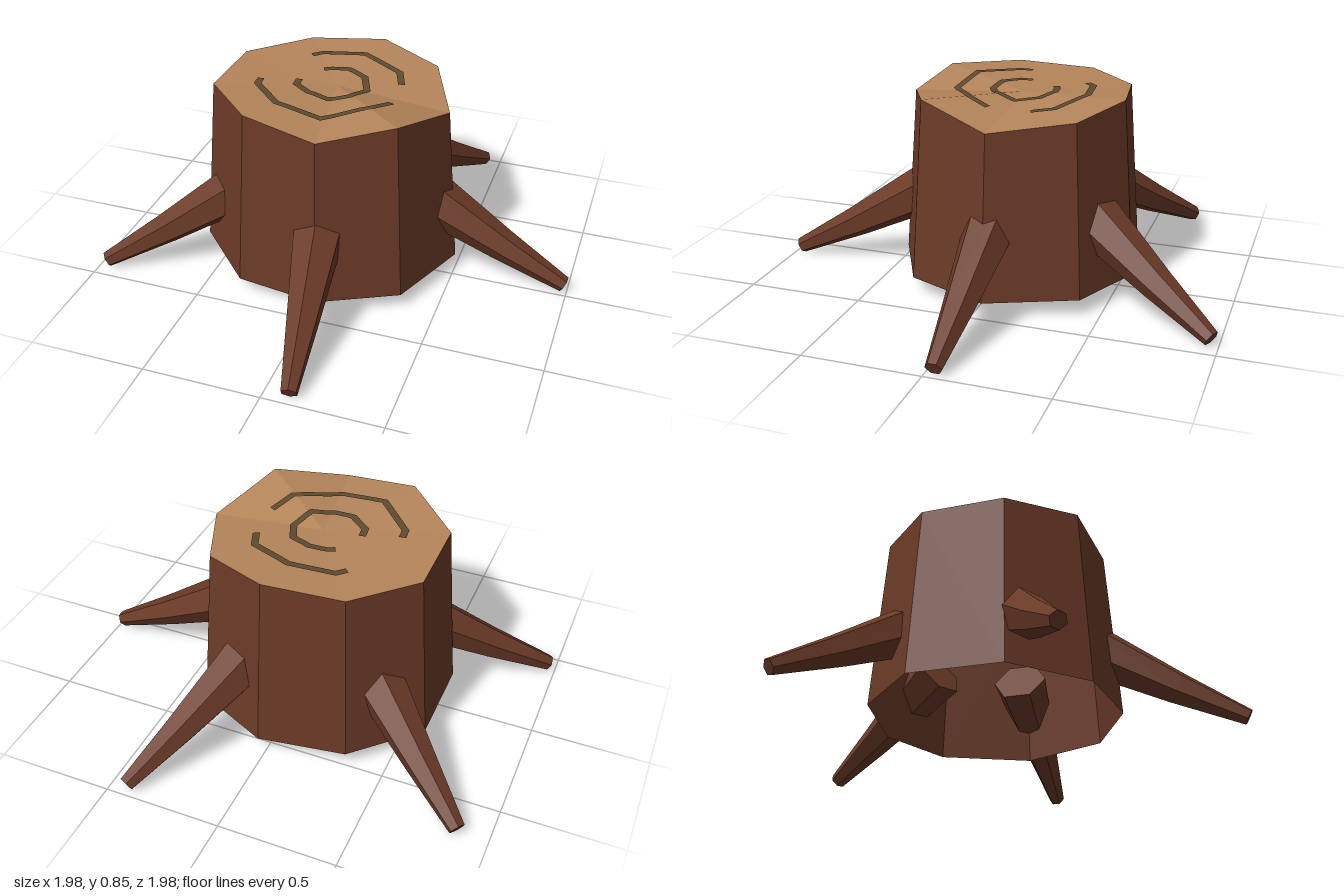
import * as THREE from 'three';

const CENTRE = { x: -0.05, z: -0.05 };
const BASE_Y = 0.08, CAP_Y = 0.825, FLARE = 1.12;

// sawn rim of the trunk: x, y, z
const RIM = [
  [0.44, 0.78, -0.05], [0.31, 0.855, 0.27], [0.02, 0.81, 0.415],
  [-0.30, 0.855, 0.37], [-0.54, 0.835, 0.12], [-0.54, 0.825, -0.23],
  [-0.31, 0.825, -0.46], [0.02, 0.845, -0.51], [0.30, 0.815, -0.38],
];

function meshFrom(positions, material, name) {
  const geometry = new THREE.BufferGeometry();
  geometry.setAttribute('position', new THREE.Float32BufferAttribute(positions.flat(), 3));
  geometry.computeVertexNormals();
  const mesh = new THREE.Mesh(geometry, material);
  mesh.name = name;
  return mesh;
}

// height of the sawn face at a point
function capHeight(x, z) {
  const px = x - CENTRE.x, pz = z - CENTRE.z;
  for (let i = 0; i < RIM.length; i++) {
    const p = RIM[i], q = RIM[(i + 1) % RIM.length];
    const ax = p[0] - CENTRE.x, az = p[2] - CENTRE.z;
    const bx = q[0] - CENTRE.x, bz = q[2] - CENTRE.z;
    const det = ax * bz - az * bx;
    const a = (px * bz - pz * bx) / det, b = (ax * pz - az * px) / det;
    if (a >= -1e-6 && b >= -1e-6) return CAP_Y + a * (p[1] - CAP_Y) + b * (q[1] - CAP_Y);
  }
  return CAP_Y;
}

// flat ribbon laid over the sawn face along a polyline
function growthRing(path, material, name) {
  const half = 0.015, steps = 4, left = [], right = [];
  const dir = (i) => {
    const a = path[i], b = path[i + 1];
    return new THREE.Vector2(b[0] - a[0], b[1] - a[1]).normalize();
  };
  const last = path.length - 1;
  const edges = path.map((p, i) => {
    const d0 = dir(Math.max(i - 1, 0)), d1 = dir(Math.min(i, last - 1));
    const d = d0.clone().add(d1).normalize();
    const w = half / Math.max(d.dot(d1), 0.5);
    return [[p[0] + d.y * w, p[1] - d.x * w], [p[0] - d.y * w, p[1] + d.x * w]];
  });
  const drape = (a, b, t) => {
    const x = a[0] + (b[0] - a[0]) * t, z = a[1] + (b[1] - a[1]) * t;
    return [x, capHeight(x, z) + 0.006, z];
  };
  for (let i = 0; i < last; i++) {
    for (let s = i ? 1 : 0; s <= steps; s++) {
      left.push(drape(edges[i][0], edges[i + 1][0], s / steps));
      right.push(drape(edges[i][1], edges[i + 1][1], s / steps));
    }
  }
  const tris = [];
  for (let i = 0; i < left.length - 1; i++) {
    tris.push(left[i], left[i + 1], right[i], right[i], left[i + 1], right[i + 1]);
  }
  // turn the ribbon face up
  const [a, b, c] = tris;
  const up = (b[2] - a[2]) * (c[0] - a[0]) - (b[0] - a[0]) * (c[2] - a[2]);
  if (up < 0) tris.reverse();
  return meshFrom(tris, material, name);
}

// six-sided tapered root, bent once, reaching along +x
const ROOT_PATH = [[0.36, 0.40, 0.12], [0.76, 0.18, 0.07], [1.035, 0.04, 0.035]]; // reach, height, radius
function rootGeometry(roll) {
  const geometry = new THREE.CylinderGeometry(1, 1, 2, 6, 2, false, roll);
  const pos = geometry.attributes.position;
  for (let i = 0; i < pos.count; i++) {
    const k = Math.round(pos.getY(i)) + 1;
    const [cx, cy, r] = ROOT_PATH[k];
    const a = ROOT_PATH[Math.max(k - 1, 0)], b = ROOT_PATH[Math.min(k + 1, 2)];
    const t = new THREE.Vector2(b[0] - a[0], b[1] - a[1]).normalize();
    const side = pos.getX(i) * r, lift = pos.getZ(i) * r;
    pos.setXYZ(i, cx - t.y * lift, cy + t.x * lift, side);
  }
  geometry.computeVertexNormals();
  return geometry;
}

export function createModel() {
  const model = new THREE.Group();
  model.name = 'treeStump';
  const make = (name, color) => new THREE.MeshStandardMaterial({
    name, color, flatShading: true, side: THREE.DoubleSide,
  });
  const bark = make('bark', 0x6b3a27);
  const wood = make('cutWood', 0xb5855a);
  const ringDark = make('ringBrown', 0x5e4b30);

  // open-bottomed trunk wall and sawn face
  const base = RIM.map(([x, , z]) => [
    CENTRE.x + (x - CENTRE.x) * FLARE, BASE_Y, CENTRE.z + (z - CENTRE.z) * FLARE,
  ]);
  const wall = [], cap = [];
  RIM.forEach((top, i) => {
    const j = (i + 1) % RIM.length;
    wall.push(base[i], top, RIM[j], base[i], RIM[j], base[j]);
    cap.push([CENTRE.x, CAP_Y, CENTRE.z], RIM[j], top);
  });
  model.add(meshFrom(wall, bark, 'trunk'), meshFrom(cap, wood, 'sawnFace'));

  // broken growth rings: x, z
  const rings = {
    outerRingFront: [[-0.37, 0.01], [-0.365, 0.06], [-0.22, 0.215], [-0.02, 0.24], [0.16, 0.12], [0.21, 0.02]],
    outerRingBack: [[-0.245, -0.28], [-0.21, -0.315], [-0.02, -0.34], [0.165, -0.25], [0.2, -0.16]],
    innerRing: [[-0.15, -0.165], [-0.12, -0.18], [-0.045, -0.19], [0.04, -0.15], [0.08, -0.055],
      [0.04, 0.045], [-0.045, 0.085], [-0.135, 0.07], [-0.21, 0.01], [-0.215, -0.04]],
  };
  for (const [name, path] of Object.entries(rings)) model.add(growthRing(path, ringDark, name));

  // roots around the trunk: tip x, tip z, roll
  const roots = [
    [0.99, -0.04, Math.PI / 6], [0.11, 0.98, 0], [-0.98, 0.44, 0.2],
    [-0.89, -0.69, 0.2], [0.43, -0.98, 0.4],
  ];
  roots.forEach(([x, z, roll], i) => {
    const root = new THREE.Mesh(rootGeometry(roll), bark);
    root.name = `root${i + 1}`;
    root.position.set(CENTRE.x, 0, CENTRE.z);
    root.rotation.y = -Math.atan2(z - CENTRE.z, x - CENTRE.x);
    model.add(root);
  });
  return model;
}
